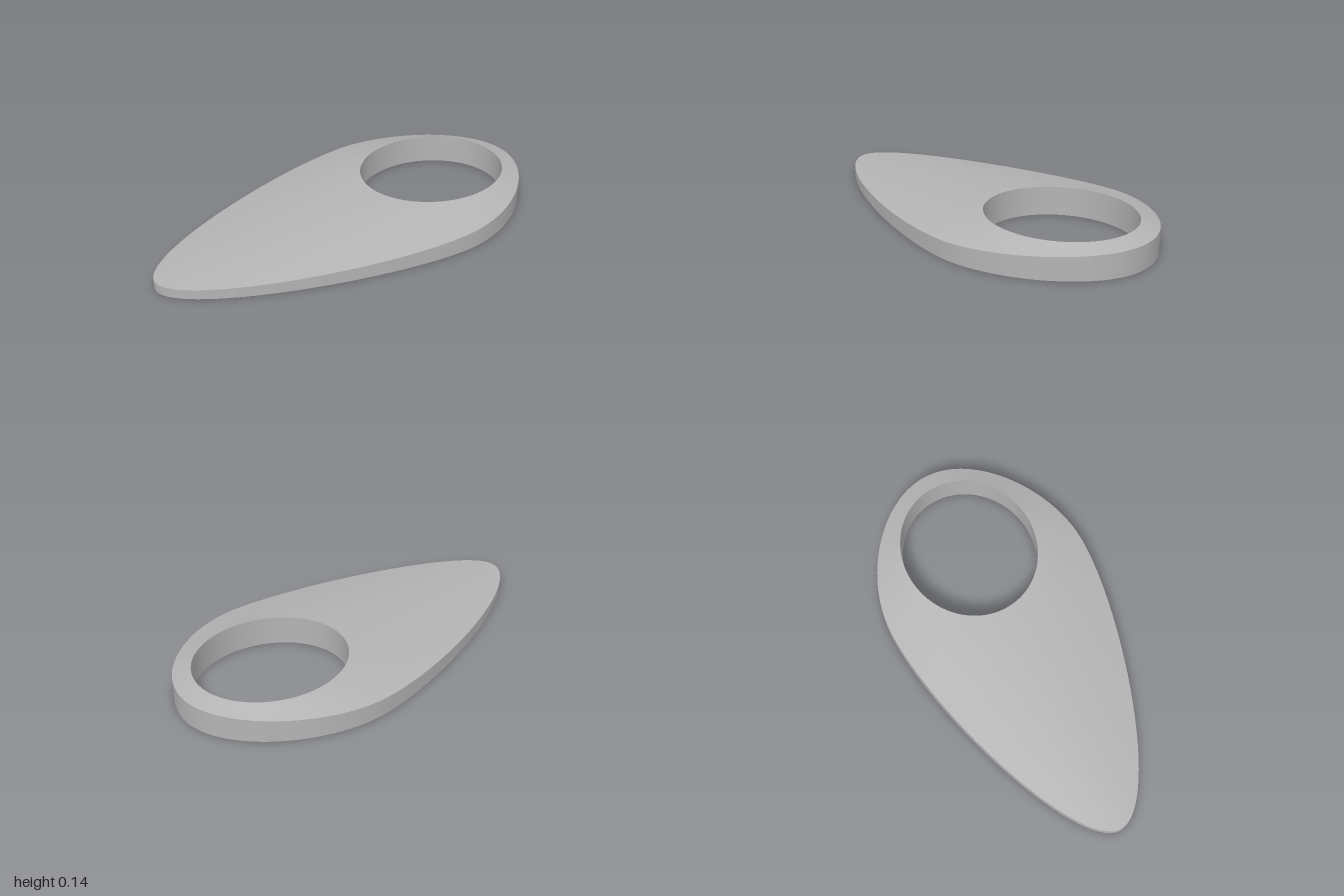
import * as THREE from 'three';

const QUARTER = 40; // steps per quarter of the outline
const HOLE = { x: 0.54, rx: 0.37, rz: 0.328 };
const TOP = 0.14;

const v2 = (x, z) => new THREE.Vector2(x, z);

// Half of the teardrop outline: long tapering tail, then the round head
const tail = new THREE.CubicBezierCurve(v2(-1, 0), v2(-1, 0.22), v2(-0.1, 0.525), v2(0.34, 0.525));
const head = new THREE.CubicBezierCurve(v2(0.34, 0.525), v2(0.65, 0.525), v2(1, 0.27), v2(1, 0));

// Runs f over a half loop at +z, then mirrors it to close the loop at -z
function closedLoop(f) {
  const half = [];
  for (let i = 0; i <= 2 * QUARTER; i++) half.push(f(i / QUARTER));
  const back = half.slice(1, -1).reverse().map((p) => v2(p.x, -p.y));
  return [...half, ...back];
}

// The outer edge rises gently from tail to head
function edgeHeight(x) {
  const t = (x + 1) / 2;
  return 0.045 + 0.03 * t + 0.04 * t * t;
}

const lift = (loop, height) => loop.map((p) => new THREE.Vector3(p.x, height(p.x), p.y));

// Ruled surface between two closed loops
function ruledSurface(a, b, rows = 1) {
  const n = a.length, positions = [], index = [];
  for (let r = 0; r <= rows; r++) {
    for (let i = 0; i < n; i++) positions.push(...a[i].clone().lerp(b[i], r / rows).toArray());
  }
  for (let r = 0; r < rows; r++) {
    for (let i = 0; i < n; i++) {
      const j = (i + 1) % n, p = r * n, q = p + n;
      index.push(p + i, p + j, q + j, p + i, q + j, q + i);
    }
  }
  const geometry = new THREE.BufferGeometry();
  geometry.setAttribute('position', new THREE.Float32BufferAttribute(positions, 3));
  geometry.setIndex(index);
  geometry.computeVertexNormals();
  return geometry;
}

export function createModel() {
  const group = new THREE.Group();
  group.name = 'teardropPlate';
  const grey = new THREE.MeshStandardMaterial({ color: 0xb4b4b4 });
  grey.name = 'grey';

  const outline = closedLoop((t) => (t <= 1 ? tail.getPoint(t) : head.getPoint(t - 1)));
  const hole = closedLoop((t) => {
    const angle = (t * Math.PI) / 2;
    return v2(HOLE.x - HOLE.rx * Math.cos(angle), HOLE.rz * Math.sin(angle));
  });

  const outerBottom = lift(outline, () => 0);
  const outerTop = lift(outline, edgeHeight);
  const holeTop = lift(hole, () => TOP);
  const holeBottom = lift(hole, () => 0);

  const add = (name, geometry) => {
    const mesh = new THREE.Mesh(geometry, grey);
    mesh.name = name;
    group.add(mesh);
  };
  add('outerWall', ruledSurface(outerBottom, outerTop));
  add('slopedTop', ruledSurface(outerTop, holeTop, 10)); // rises to the level rim of the hole
  add('holeWall', ruledSurface(holeTop, holeBottom));
  add('underside', ruledSurface(holeBottom, outerBottom));
  return group;
}
